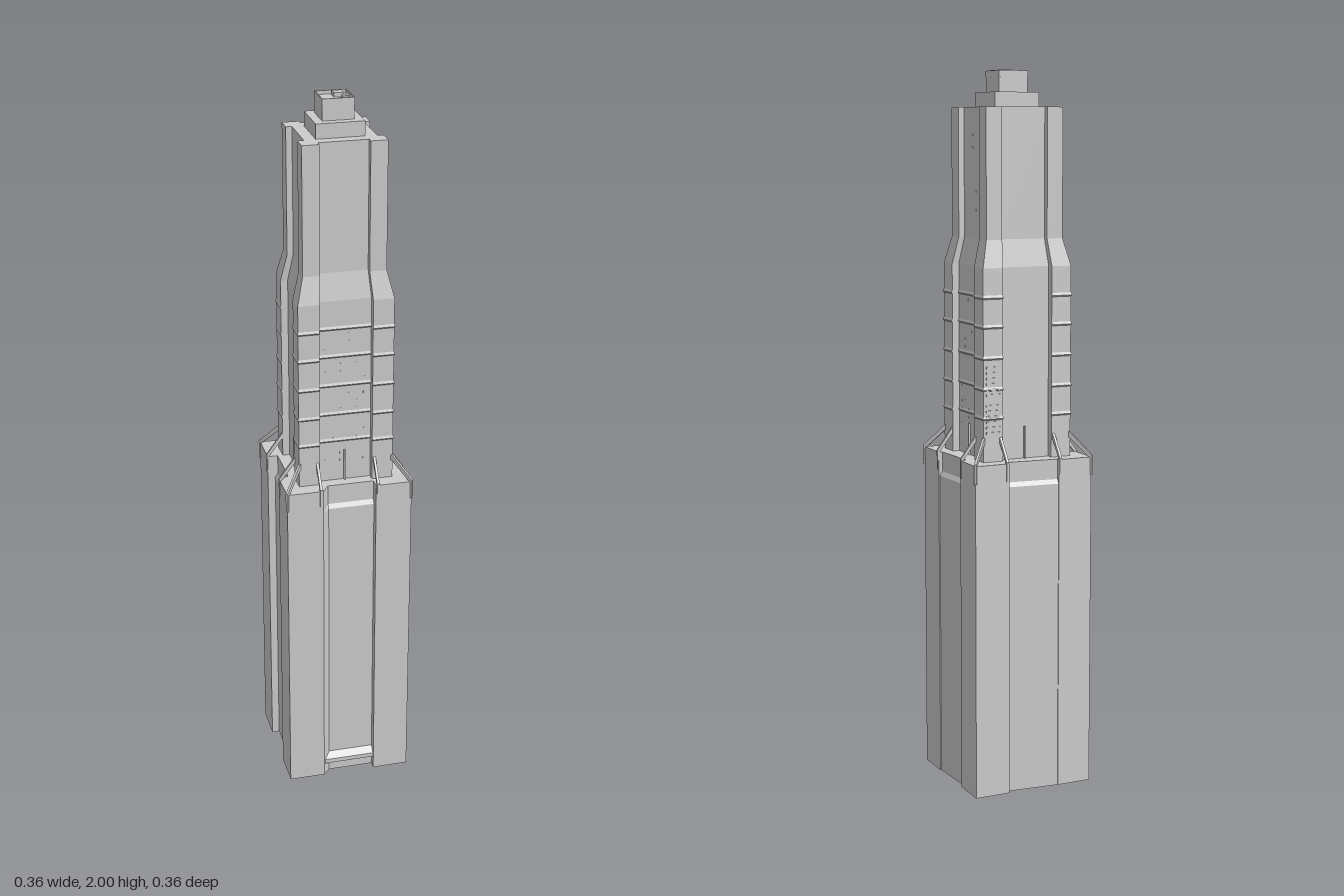
import * as THREE from 'three';
import { mergeGeometries } from 'three/addons/utils/BufferGeometryUtils.js';

const grey = new THREE.MeshStandardMaterial({ color: 0xcccccc, flatShading: true });

// Stacks outlines ([x, z], counterclockwise from above) into a closed solid
function loft(sections) {
  const pos = [];
  const put = (s, i) => pos.push(s.pts[i][0], s.y, s.pts[i][1]);
  for (let k = 0; k < sections.length - 1; k++) {
    const a = sections[k], b = sections[k + 1], n = a.pts.length;
    for (let i = 0; i < n; i++) {
      const j = (i + 1) % n;
      put(a, i); put(a, j); put(b, j);
      put(a, i); put(b, j); put(b, i);
    }
  }
  const cap = (s, up) => {
    const contour = s.pts.map(([x, z]) => new THREE.Vector2(x, -z));
    for (const [a, b, c] of THREE.ShapeUtils.triangulateShape(contour, [])) {
      (up ? [a, b, c] : [a, c, b]).forEach((i) => put(s, i));
    }
  };
  cap(sections[0], false);
  cap(sections[sections.length - 1], true);
  const geo = new THREE.BufferGeometry();
  geo.setAttribute('position', new THREE.Float32BufferAttribute(pos, 3));
  geo.computeVertexNormals();
  return geo;
}

// Uneven base outline; d pushes the bays inward
const baseOutline = (d) => [
  [-0.177, 0.177], [-0.075, 0.177], [-0.055, 0.155 - d], [0.075, 0.155 - d], [0.075, 0.177],
  [0.177, 0.177], [0.177, 0.075], [0.174 - d, 0.075], [0.166 - d, -0.075], [0.177, -0.075],
  [0.177, -0.177], [0.075, -0.177], [0.075, -0.163 + d], [-0.076, -0.176 + d], [-0.077, -0.177],
  [-0.177, -0.177], [-0.177, -0.075], [-0.156 + d, -0.075], [-0.156 + d, 0.06], [-0.177, 0.072],
];

// Square outline with a recessed bay on each side (front, right, back, left)
function towerOutline(h, w, bays) {
  const pts = [];
  for (let k = 0; k < 4; k++) {
    const b = bays[k];
    for (let [x, z] of [[-h, h], [-w, h], [-w, b], [w, b], [w, h]]) {
      for (let r = 0; r < k; r++) [x, z] = [z, -x];
      pts.push([x, z]);
    }
  }
  return pts;
}

const boxGeo = (w, h, d, x, y, z) => new THREE.BoxGeometry(w, h, d).translate(x, y, z);

export function createModel() {
  const model = new THREE.Group();
  const add = (name, geo, parent = model) => {
    const mesh = new THREE.Mesh(geo, grey);
    mesh.name = name;
    parent.add(mesh);
    return mesh;
  };

  // Base block, bays stepping back near the top
  add('baseBlock', loft([[0, 0], [0.872, 0], [0.884, 0.008], [0.94, 0.008]]
    .map(([y, d]) => ({ y, pts: baseOutline(d) }))));

  // Sloped entrance canopy in the front bay
  const canopy = new THREE.Shape([[0.15, 0.035], [0.172, 0.035], [0.172, 0.048], [0.155, 0.065], [0.15, 0.065]]
    .map(([z, y]) => new THREE.Vector2(z, y)));
  add('entranceCanopy', new THREE.ExtrudeGeometry(canopy, { depth: 0.145, bevelEnabled: false })
    .rotateY(-Math.PI / 2).translate(0.075, 0, 0));

  // Tower shaft, narrowing between 1.47 and 1.545
  const all = (b) => [b, b, b, b];
  add('towerShaft', loft([
    { y: 0.935, pts: towerOutline(0.133, 0.074, all(0.113)) },
    { y: 1.47, pts: towerOutline(0.133, 0.074, all(0.113)) },
    { y: 1.545, pts: towerOutline(0.115, 0.068, all(0.098)) },
    { y: 1.9, pts: towerOutline(0.115, 0.068, all(0.098)) },
  ]));

  // Slim ledges: all piers, and the front and right bays
  for (const y of [1.06, 1.14, 1.225, 1.31, 1.39]) {
    const ring = (o) => towerOutline(0.133 + o, 0.074, [0.113 + o, 0.113 + o, 0.105, 0.105]);
    add('ledge', loft([
      { y: y - 0.004, pts: ring(0) },
      { y, pts: ring(0.003) },
      { y: y + 0.007, pts: ring(0) },
    ]));
  }

  // Buttress legs round the foot of the shaft, and a fin in each bay
  const legShape = new THREE.Shape([
    [0.128, 1.012], [0.135, 1.005], [0.179, 0.945], [0.179, 0.89],
    [0.175, 0.89], [0.175, 0.936], [0.132, 0.992], [0.128, 0.992],
  ].map(([x, y]) => new THREE.Vector2(x, y)));
  const legGeo = new THREE.ExtrudeGeometry(legShape, { depth: 0.007, bevelEnabled: false })
    .translate(0, 0, -0.0035);
  const diagonalGeo = legGeo.clone().scale(Math.SQRT2, 1, 1).rotateY(Math.PI / 4);
  for (let k = 0; k < 4; k++) {
    const side = new THREE.Group();
    side.name = 'buttresses';
    side.rotation.y = k * Math.PI / 2;
    add('cornerButtress', diagonalGeo, side);
    for (const s of [-1, 1]) add('pierButtress', legGeo, side).position.z = s * 0.081;
    add('bayFin', boxGeo(0.008, 0.09, 0.004, 0.115, 0.985, 0), side);
    model.add(side);
  }

  // Louvres on one rear pier
  const slats = [];
  for (const start of [1.02, 1.125]) {
    for (let i = 0; i < 6; i++) slats.push(boxGeo(0.042, 0.006, 0.004, 0.104, start + i * 0.015, -0.1335));
  }
  add('louvres', mergeGeometries(slats));

  // Scattered small windows on the front and right sides
  let seed = 7;
  const rand = () => (seed = (seed * 16807) % 2147483647) / 2147483647;
  const panes = [];
  for (let row = 0; row < 18; row++) {
    for (let col = 0; col < 6; col++) {
      const u = -0.055 + col * 0.022, y = 1.0 + row * 0.022;
      if (rand() < 0.45) panes.push(boxGeo(0.004, 0.006, 0.001, u, y, 0.113));
      if (rand() < 0.45) panes.push(boxGeo(0.001, 0.006, 0.004, 0.113, y, u));
      if (col < 4 && rand() < 0.45) panes.push(boxGeo(0.001, 0.006, 0.004, 0.098, y + 0.57 - row * 0.005, u));
    }
  }
  add('windows', mergeGeometries(panes));

  // Stepped roof house with an open parapet
  add('roofStep', boxGeo(0.132, 0.04, 0.132, 0, 1.92, 0));
  add('roofHouse', boxGeo(0.086, 0.05, 0.086, 0, 1.963, 0));
  const parapet = new THREE.Shape(
    [[-1, -1], [1, -1], [1, 1], [-1, 1]].map(([x, y]) => new THREE.Vector2(x * 0.0435, y * 0.0435)));
  parapet.holes.push(new THREE.Path(
    [[-1, -1], [-1, 1], [1, 1], [1, -1]].map(([x, y]) => new THREE.Vector2(x * 0.0405, y * 0.0405))));
  add('parapet', new THREE.ExtrudeGeometry(parapet, { depth: 0.018, bevelEnabled: false })
    .rotateX(-Math.PI / 2).translate(0, 1.98, 0));
  add('roofUnitLarge', boxGeo(0.026, 0.014, 0.026, 0.013, 1.993, -0.017));
  add('roofUnitSmall', boxGeo(0.018, 0.014, 0.018, 0.024, 1.993, 0.024));

  return model;
}
